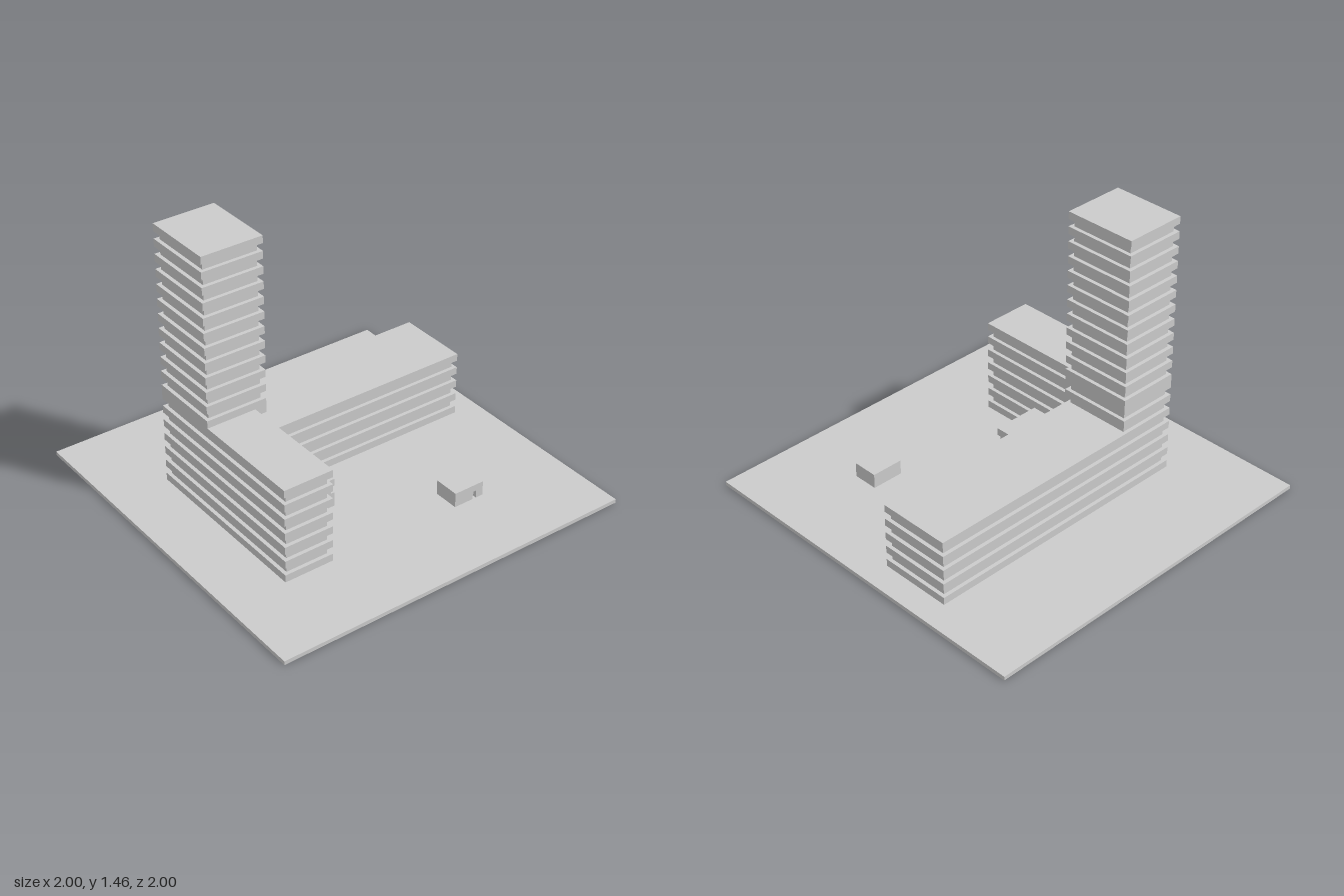
import * as THREE from 'three';

const material = new THREE.MeshStandardMaterial({ color: 0xcccccc, flatShading: true });
const GROUND = 0.021, BAND = 0.0402, FLOOR = 0.0802, INSET = 0.02;

// Box given by its limits on each axis
function block(parent, name, [x0, x1], [y0, y1], [z0, z1]) {
  const mesh = new THREE.Mesh(new THREE.BoxGeometry(x1 - x0, y1 - y0, z1 - z0), material);
  mesh.name = name;
  mesh.position.set((x0 + x1) / 2, (y0 + y1) / 2, (z0 + z1) / 2);
  parent.add(mesh);
  return mesh;
}

// Projecting floor bands around a set-back core
function bandedBlock(name, x, z, coreX, coreZ, y0, floors) {
  const group = new THREE.Group();
  group.name = name;
  for (let i = 0; i < floors; i++) {
    const y = y0 + i * FLOOR;
    block(group, 'floorBand', x, [y, y + BAND], z);
  }
  const top = y0 + (floors - 1) * FLOOR + BAND / 2;
  block(group, 'windowCore', coreX, [y0 + BAND / 2, top], coreZ);
  return group;
}

export function createModel() {
  const model = new THREE.Group();
  model.name = 'towerComplex';
  block(model, 'groundSlab', [-1, 1], [0, GROUND], [-1, 1]);

  const west = -0.46, mid = -0.063, east = 0.557;
  const front = 0.677, towerBack = 0.339, wingBack = -0.86, sideBack = 0.403;
  const towerX = [west, mid], towerZ = [towerBack, front];
  const towerCoreX = [west + INSET, mid - INSET], towerCoreZ = [towerBack + INSET, front - INSET];

  // Tower: seven lower floors level with the side block, twelve above
  const upperStart = GROUND + 6 * FLOOR + BAND;
  model.add(bandedBlock('towerBase', towerX, towerZ, towerCoreX, towerCoreZ, GROUND, 7));
  model.add(bandedBlock('tower', towerX, towerZ, towerCoreX, towerCoreZ, upperStart, 12));

  // Side block beside the tower
  model.add(bandedBlock('sideBlock', [mid, east], [sideBack, front],
    [mid - INSET, east - INSET], [sideBack + INSET, front - INSET], GROUND, 7));

  // Long low wing behind the tower
  model.add(bandedBlock('rearWing', towerX, [wingBack, towerBack],
    towerCoreX, [wingBack + INSET, towerBack + INSET], GROUND, 5));

  // Entrance hall in the inner corner, with a window slot in its back wall
  const hall = new THREE.Group();
  hall.name = 'entranceHall';
  const hallX = [mid - INSET, 0.215];
  block(hall, 'hallBody', hallX, [GROUND, 0.182], [0.16, sideBack + INSET]);
  block(hall, 'hallLowerWall', hallX, [GROUND, 0.101], [0.14, 0.16]);
  block(hall, 'hallRoofEdge', hallX, [0.141, 0.182], [0.14, 0.16]);
  model.add(hall);

  // Small kiosk with a recessed door on its left side
  const kiosk = new THREE.Group();
  kiosk.name = 'kiosk';
  const kx = [0.438, 0.558], shellX = [0.558, 0.578], kTop = 0.101, doorTop = 0.064;
  block(kiosk, 'kioskBody', kx, [GROUND, kTop], [-0.5, -0.325]);
  block(kiosk, 'kioskWallBack', shellX, [GROUND, kTop], [-0.5, -0.458]);
  block(kiosk, 'kioskWallFront', shellX, [GROUND, kTop], [-0.437, -0.325]);
  block(kiosk, 'kioskLintel', shellX, [doorTop, kTop], [-0.458, -0.437]);
  model.add(kiosk);

  return model;
}
